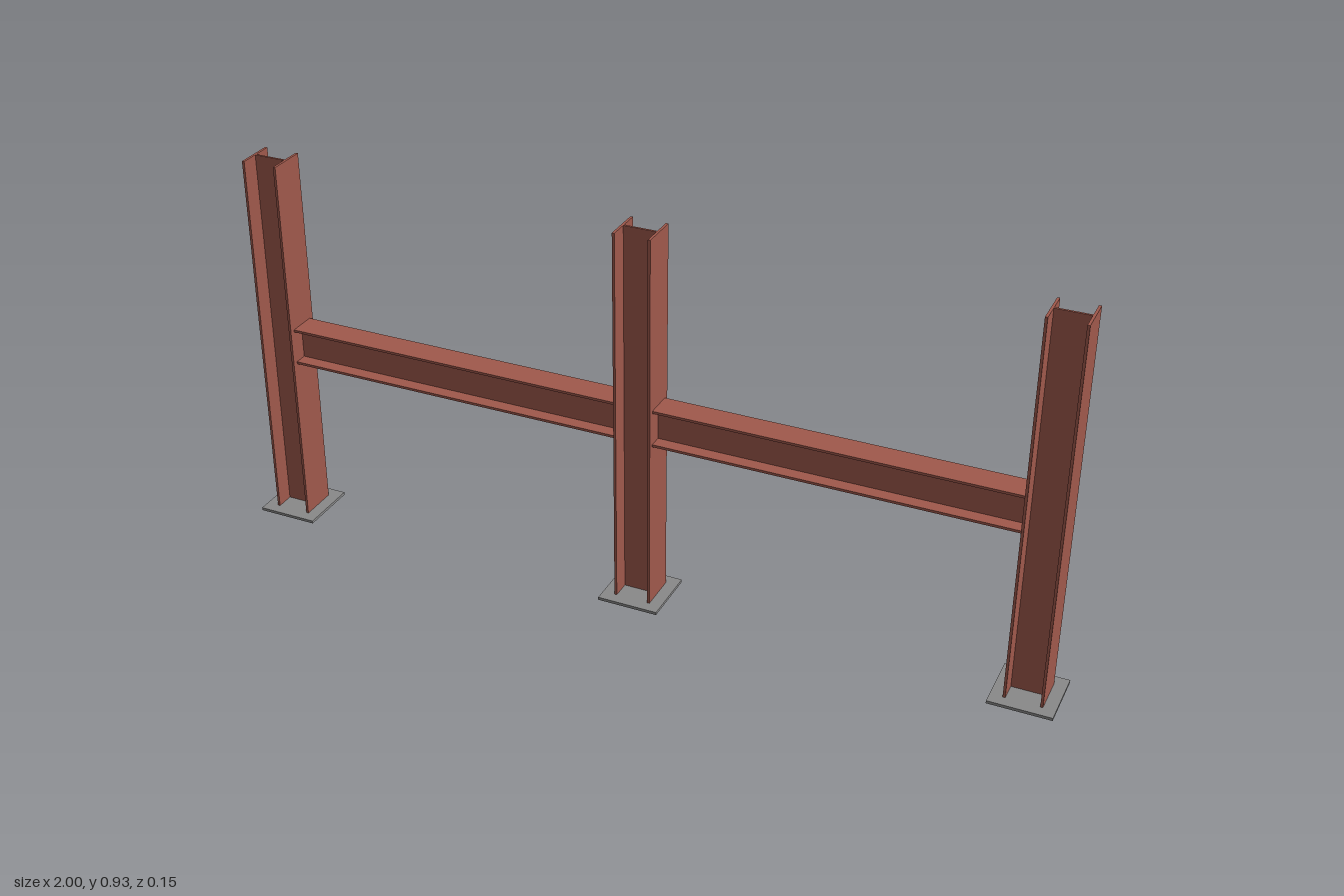
import * as THREE from 'three';

const COLUMN_X = [-0.9265, 0, 0.9265];
const PLATE = { size: 0.147, thickness: 0.007 };
const COLUMN = { depth: 0.089, width: 0.093, flange: 0.006, web: 0.005, top: 0.927 };
const BEAM = { depth: 0.091, width: 0.067, flange: 0.006, web: 0.005, y: 0.465 };

// I-section extruded along +z: flanges lie along x, depth runs along y
function iSection({ depth, width, flange, web }, length) {
  const d = depth / 2, w = width / 2, t = web / 2, f = d - flange;
  const outline = [
    [-w, -d], [w, -d], [w, -f], [t, -f], [t, f], [w, f],
    [w, d], [-w, d], [-w, f], [-t, f], [-t, -f], [-w, -f],
  ];
  const shape = new THREE.Shape(outline.map(([x, y]) => new THREE.Vector2(x, y)));
  return new THREE.ExtrudeGeometry(shape, { depth: length, bevelEnabled: false });
}

export function createModel() {
  const model = new THREE.Group();
  model.name = 'steelFrame';

  const redSteel = new THREE.MeshStandardMaterial({ color: 0xa0594c });
  redSteel.name = 'red oxide steel';
  const greySteel = new THREE.MeshStandardMaterial({ color: 0x8a8a8a });
  greySteel.name = 'grey steel';

  // Columns stand upright with their flanges facing along x
  const columnGeometry = iSection(COLUMN, COLUMN.top - PLATE.thickness)
    .rotateX(-Math.PI / 2)
    .rotateY(Math.PI / 2);
  const plateGeometry = new THREE.BoxGeometry(PLATE.size, PLATE.thickness, PLATE.size);

  for (const x of COLUMN_X) {
    const plate = new THREE.Mesh(plateGeometry, greySteel);
    plate.name = 'basePlate';
    plate.position.set(x, PLATE.thickness / 2, 0);

    const column = new THREE.Mesh(columnGeometry, redSteel);
    column.name = 'column';
    column.position.set(x, PLATE.thickness, 0);
    model.add(plate, column);
  }

  // Beams span between the facing flanges of neighbouring columns
  const span = COLUMN_X[2] - COLUMN.depth;
  const beamGeometry = iSection(BEAM, span).rotateY(Math.PI / 2);
  for (const x of COLUMN_X.slice(0, 2)) {
    const beam = new THREE.Mesh(beamGeometry, redSteel);
    beam.name = 'beam';
    beam.position.set(x + COLUMN.depth / 2, BEAM.y, 0);
    model.add(beam);
  }

  return model;
}
